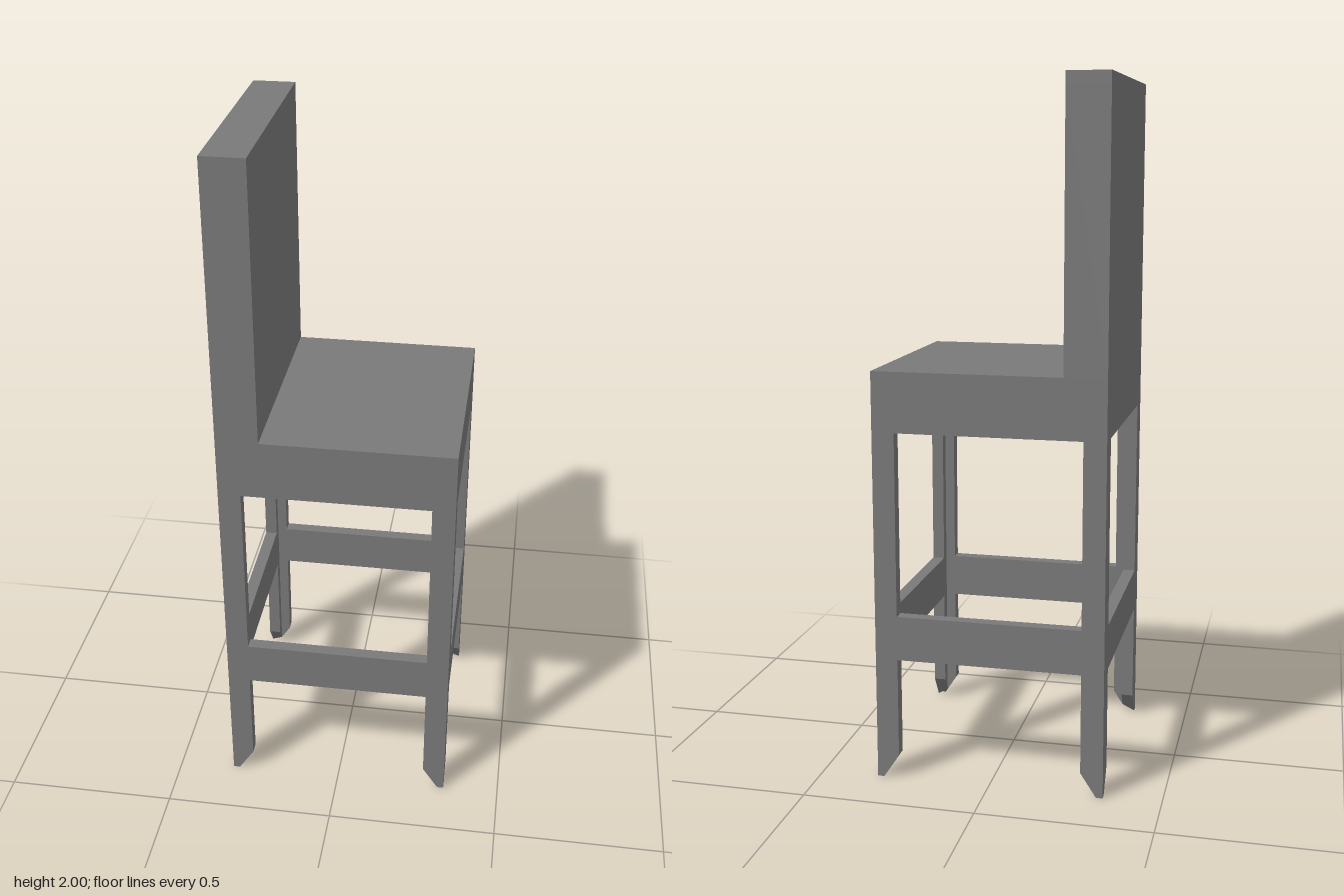
import * as THREE from 'three';

const H = 0.333;        // half width of the chair
const T = 0.036;        // wall thickness of the frames, seat and backrest
const IN = H - T;       // half width between the frames
const LEG = 0.268;      // inner edge of the legs
const TIP = 0.314;      // inner edge of the foot tips
const CUT = 0.07;       // height of the slanted foot cut
const SEAT = 1.2;       // seat height
const BACK = -0.212;    // front face of the backrest

const points = (list) => list.map(([x, y]) => new THREE.Vector2(x, y));
const rectangle = (x0, x1, y0, y1) => points([[x0, y0], [x1, y0], [x1, y1], [x0, y1]]);

// One side: two pointed feet, a lower rail, a window and the apron, mitred at the corners.
function frameGeometry() {
  const right = [[LEG, 0.362], [LEG, CUT], [TIP, 0], [H, 0], [H, SEAT]];
  const left = right.map(([x, y]) => [-x, y]).reverse();
  const shape = new THREE.Shape(points([...right, ...left]));
  shape.holes.push(new THREE.Path(rectangle(-LEG, LEG, 0.492, 1.027)));
  const geometry = new THREE.ExtrudeGeometry(shape, { depth: T, bevelEnabled: false });
  geometry.translate(0, 0, IN);

  // Pull the inner corners in to the mitre and up to the slanted foot cut
  const p = geometry.attributes.position;
  const footY = CUT * (TIP - IN) / (TIP - LEG);
  for (let i = 0; i < p.count; i++) {
    if (p.getZ(i) > IN + T / 2 || Math.abs(p.getX(i)) < IN) continue;
    p.setX(i, Math.sign(p.getX(i)) * IN);
    p.setY(i, Math.max(p.getY(i), footY));
  }
  geometry.computeVertexNormals();
  return geometry;
}

// Upright hollow walls of the backrest, open to the space under the seat.
function backrestGeometry() {
  const shape = new THREE.Shape(rectangle(-H, BACK, -H, H));
  shape.holes.push(new THREE.Path(rectangle(-IN, BACK - T, -IN, IN)));
  const geometry = new THREE.ExtrudeGeometry(shape, { depth: 2 - T - SEAT, bevelEnabled: false });
  return geometry.rotateX(-Math.PI / 2).translate(0, SEAT, 0);
}

export function createModel() {
  const model = new THREE.Group();
  model.name = 'chair';
  const material = new THREE.MeshStandardMaterial({ color: 0x797979, flatShading: true });

  const add = (name, geometry) => {
    const mesh = new THREE.Mesh(geometry, material);
    mesh.name = name;
    model.add(mesh);
    return mesh;
  };
  const addBoard = (name, x0, x1, top, halfDepth) =>
    add(name, new THREE.BoxGeometry(x1 - x0, T, halfDepth * 2))
      .position.set((x0 + x1) / 2, top - T / 2, 0);

  // Four equal frames meet at the corners and form angle-shaped legs
  const frame = frameGeometry();
  ['frontFrame', 'leftFrame', 'backFrame', 'rightFrame'].forEach((name, i) => {
    add(name, frame).rotation.y = i * Math.PI / 2;
  });

  // Thin seat board between the aprons
  addBoard('seat', BACK - T, IN, SEAT, IN);

  // Tall hollow backrest along the right edge, closed by a lid
  add('backrest', backrestGeometry());
  addBoard('backrestTop', -H, BACK, 2, H);

  return model;
}
